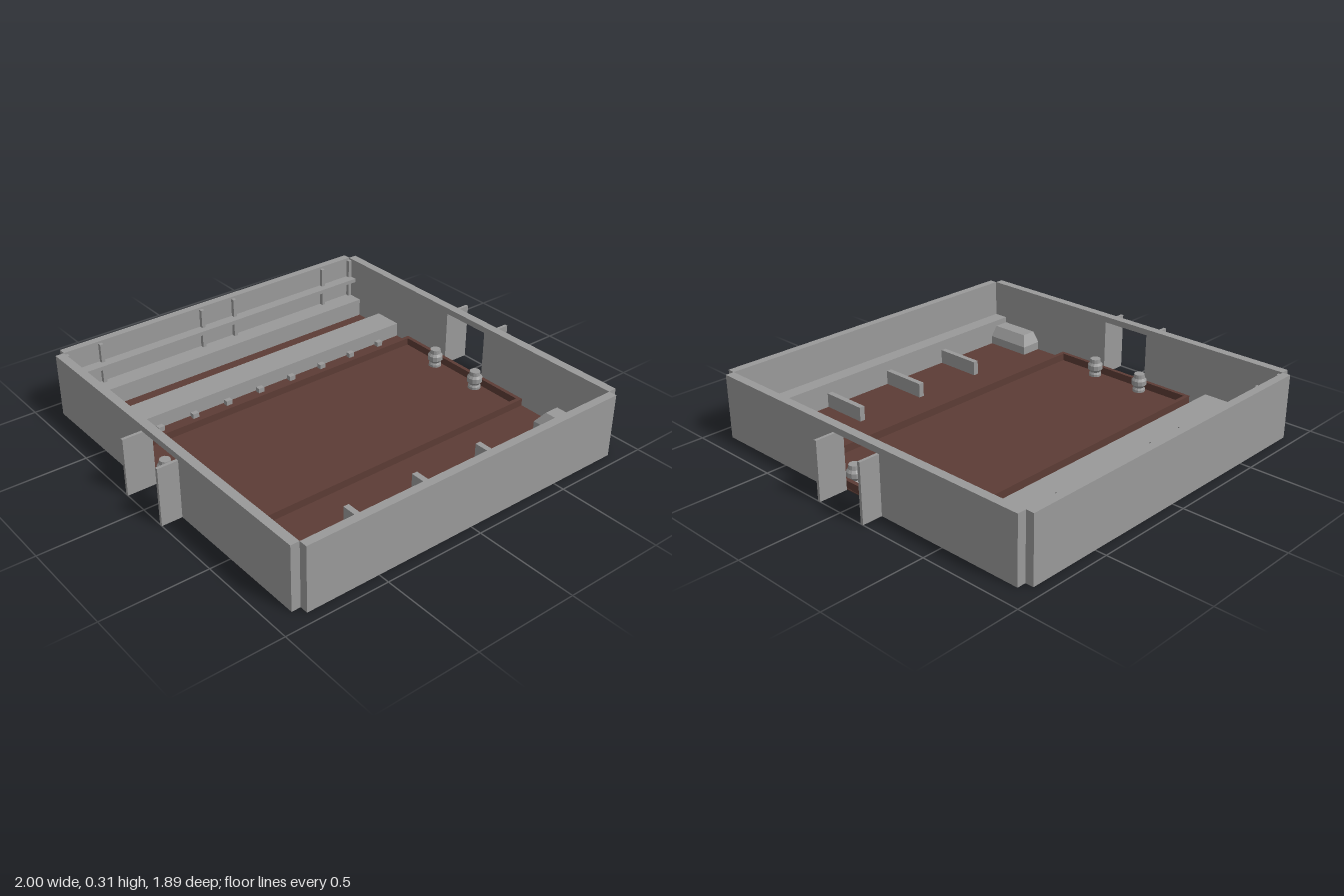
import * as THREE from 'three';
import { ConvexGeometry } from 'three/addons/geometries/ConvexGeometry.js';

export function createModel() {
  const model = new THREE.Group();
  model.name = 'walledArena';
  const gray = new THREE.MeshStandardMaterial({ color: 0x999999 });
  gray.name = 'stone gray';
  const brown = new THREE.MeshStandardMaterial({ color: 0x5c3c35 });
  brown.name = 'earth brown';

  const add = (name, geometry, material) => {
    const mesh = new THREE.Mesh(geometry, material);
    mesh.name = name;
    model.add(mesh);
    return mesh;
  };
  // Box given by its minimum and maximum on each axis
  const box = (name, x0, x1, y0, y1, z0, z1, material = gray) => {
    const mesh = add(name, new THREE.BoxGeometry(x1 - x0, y1 - y0, z1 - z0), material);
    mesh.position.set((x0 + x1) / 2, (y0 + y1) / 2, (z0 + z1) / 2);
    return mesh;
  };

  const H = 0.315;   // wall height
  const X = 0.857;   // inner half width
  const Z = 0.905;   // inner half depth
  const gate = 0.13; // half width of the side gates
  const gateTop = 0.285;

  // Floor
  box('floor', -X, X, 0.003, 0.008, -0.86, Z, brown);

  // Front and back walls
  box('frontWall', -X, X, 0, H, Z, 0.945);
  box('backWall', -X, X, 0, H, -0.945, -Z);

  // Side walls with a gate opening and two outward gate leaves each
  for (const s of [-1, 1]) {
    const shape = new THREE.Shape([
      [-Z, 0], [-gate, 0], [-gate, gateTop], [gate, gateTop],
      [gate, 0], [Z, 0], [Z, H], [-Z, H],
    ].map(([a, b]) => new THREE.Vector2(a, b)));
    const geometry = new THREE.ExtrudeGeometry(shape, { depth: 0.043, bevelEnabled: false });
    geometry.translate(0, 0, -0.0215).rotateY(-Math.PI / 2);
    add('sideWall', geometry, gray).position.x = s * 0.8785;

    for (const t of [-1, 1]) {
      const leaf = box('gateLeaf', -0.05, 0.05, 0, gateTop, -0.0075, 0.0075);
      leaf.position.x = s * 0.95;
      leaf.position.z = t * 0.1375;
    }
  }

  // Low curb around the middle field
  const curbZ = 0.41;
  for (const s of [-1, 1]) {
    const side = box('sideCurb', -0.01, 0.01, 0.003, 0.045, -curbZ, curbZ, brown);
    side.position.x = s * 0.845;
    const cross = box('crossCurb', -0.835, 0.835, 0.003, 0.045, -0.01, 0.01, brown);
    cross.position.z = s * (curbZ - 0.01);
  }

  // Back benches, wall ledge and wall ribs
  box('lowBench', -X, X, 0.005, 0.08, -0.65, -0.5);
  box('backBench', -X, X, 0.005, 0.1, -Z, -0.81);
  box('wallLedge', -X, X, 0.19, 0.21, -Z, -0.85);
  for (const x of [-0.848, -0.67, -0.1, 0.093, 0.665, 0.848]) {
    box('wallRib', x - 0.009, x + 0.009, 0.1, 0.305, -Z, -0.885);
  }

  // Row of small pegs before the low bench
  for (let i = 0; i < 9; i++) {
    const x = -0.81 + i * 0.19;
    box('peg', x - 0.016, x + 0.016, 0.006, 0.032, -0.492, -0.467);
  }

  // Front bench and dividers
  box('frontBench', -X, X, 0.005, 0.13, 0.83, Z);
  for (const x of [-0.38, 0, 0.38]) {
    box('divider', x - 0.014, x + 0.014, 0, 0.08, 0.59, 0.83);
  }

  // Corner blocks with sloped inner and rear shoulders
  for (const s of [-1, 1]) {
    const points = [];
    for (const [y, inset] of [[0, 0], [0.05, 0], [0.1, 0.036]]) {
      for (const x of [0.745 + inset, X]) {
        for (const z of [0.59 + inset, 0.83]) points.push(new THREE.Vector3(s * x, y, z));
      }
    }
    add('cornerBlock', new ConvexGeometry(points), gray);
  }

  // Turned bollards beside the gates
  const profile = [
    [0, 0.003], [0.032, 0.003], [0.032, 0.02], [0.026, 0.03], [0.038, 0.045],
    [0.038, 0.068], [0.028, 0.08], [0.026, 0.1], [0, 0.1],
  ].map(([r, y]) => new THREE.Vector2(r, y));
  const bollard = new THREE.LatheGeometry(profile, 12).toNonIndexed();
  bollard.computeVertexNormals();
  for (const x of [-0.8, 0.8]) {
    for (const z of [-0.142, 0.142]) add('bollard', bollard, gray).position.set(x, 0, z);
  }

  return model;
}
